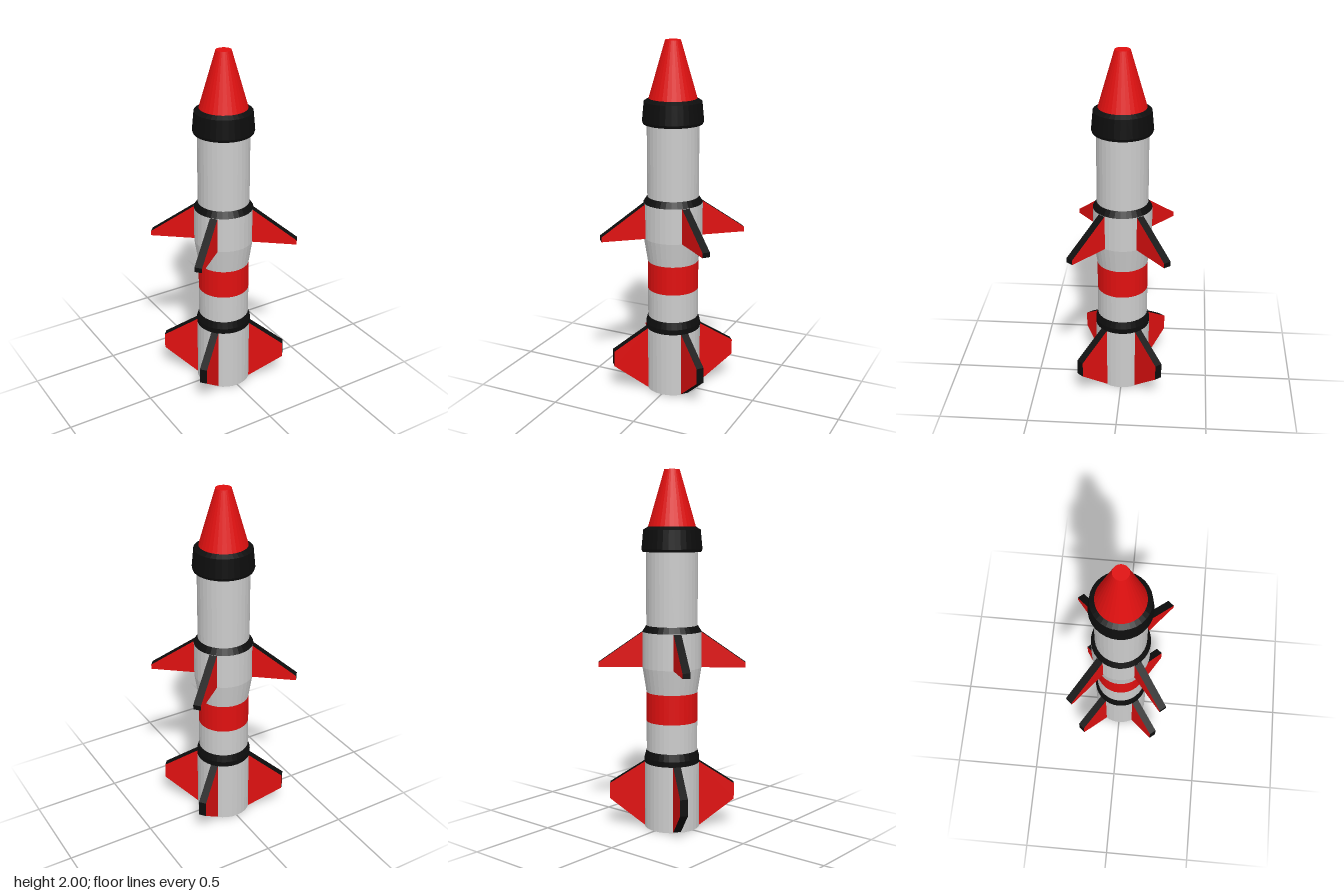
import * as THREE from 'three';

const SEGMENTS = 32;
const FIN_ANGLE = THREE.MathUtils.degToRad(39.5);
const FIN_THICKNESS = 0.043;

const grey = new THREE.MeshStandardMaterial({ color: 0xcccccc, flatShading: true });
const red = new THREE.MeshStandardMaterial({ color: 0xe01010, flatShading: true });
const black = new THREE.MeshStandardMaterial({ color: 0x0d0d0d, flatShading: true });

// Turned section from [radius, height] pairs, bottom to top
function turned(name, material, profile) {
  const points = profile.map(([r, y]) => new THREE.Vector2(r, y));
  const mesh = new THREE.Mesh(new THREE.LatheGeometry(points, SEGMENTS), material);
  mesh.name = name;
  return mesh;
}

// Four flat fins with red faces and black rims, outline in [radius, height]
function finSet(name, outline) {
  const set = new THREE.Group();
  set.name = name + 's';
  const shape = new THREE.Shape(outline.map(([r, y]) => new THREE.Vector2(r, y)));
  const geometry = new THREE.ExtrudeGeometry(shape, { depth: FIN_THICKNESS, bevelEnabled: false });
  geometry.translate(0, 0, -FIN_THICKNESS / 2);
  for (const angle of [FIN_ANGLE, Math.PI - FIN_ANGLE, Math.PI + FIN_ANGLE, -FIN_ANGLE]) {
    const fin = new THREE.Mesh(geometry, [red, black]);
    fin.name = name;
    fin.rotation.y = angle;
    set.add(fin);
  }
  return set;
}

export function createModel() {
  const rocket = new THREE.Group();
  rocket.name = 'rocket';

  rocket.add(
    // Tail and lower body
    turned('tailSection', grey, [[0, 0], [0.155, 0], [0.155, 0.375]]),
    turned('tailRing', black, [[0.155, 0.375], [0.155, 0.405], [0.143, 0.445]]),
    turned('lowerBody', grey, [[0.143, 0.44], [0.143, 0.61]]),
    turned('redBand', red, [[0.143, 0.61], [0.143, 0.775]]),
    // Flared middle and upper body
    turned('flaredSection', grey, [[0.143, 0.775], [0.165, 0.915], [0.165, 1.115]]),
    turned('shoulderRing', black, [[0.165, 1.115], [0.143, 1.15]]),
    turned('upperBody', grey, [[0.143, 1.145], [0.143, 1.56]]),
    // Collar and blunt nose
    turned('noseCollar', black, [[0.143, 1.555], [0.163, 1.555], [0.168, 1.57], [0.158, 1.675], [0.131, 1.692]]),
    turned('noseCone', red, [[0.132, 1.69], [0.042, 2], [0, 2]]),
    // Fins
    finSet('upperFin', [[0.1, 0.915], [0.41, 0.915], [0.41, 0.942], [0.165, 1.113], [0.1, 1.113]]),
    finSet('lowerFin', [[0.1, 0.005], [0.155, 0.005], [0.351, 0.16], [0.351, 0.25], [0.155, 0.375], [0.1, 0.375]]),
  );
  return rocket;
}
